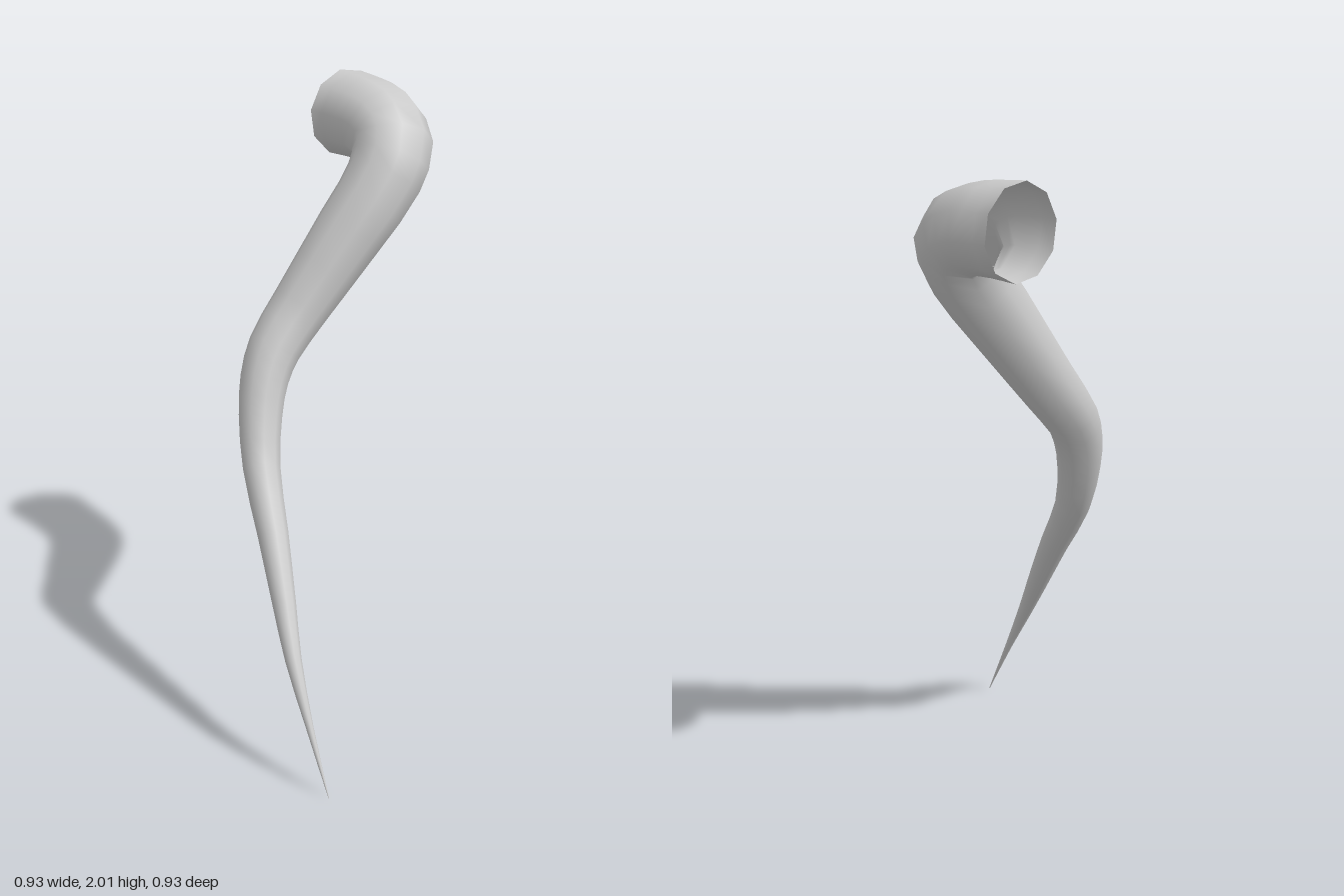
import * as THREE from 'three';

// Centreline stations from the open socket to the tip: x, y, z, radius
const STATIONS = [
  [0.322, 1.867, -0.465, 0.144],
  [0.322, 1.866, -0.36, 0.138],
  [0.318, 1.855, -0.265, 0.134],
  [0.297, 1.81, -0.185, 0.131],
  [0.24, 1.72, -0.157, 0.125],
  [0.12, 1.565, -0.175, 0.115],
  [-0.055, 1.335, -0.213, 0.096],
  [-0.16, 1.215, -0.213, 0.087],
  [-0.215, 1.125, -0.195, 0.078],
  [-0.255, 1.02, -0.163, 0.070],
  [-0.3, 0.875, -0.098, 0.060],
  [-0.35, 0.70, 0.03, 0.049],
  [-0.40, 0.52, 0.155, 0.037],
  [-0.437, 0.38, 0.25, 0.026],
  [-0.457, 0.2, 0.358, 0.012],
  [-0.465, 0.0, 0.465, 0.001],
];
const SIDES = 10;
const STEPS = 2; // rings per station interval

// Tapered tube with a frame carried smoothly along the curve
function taperedTube(stations) {
  const curve = new THREE.CatmullRomCurve3(stations.map(([x, y, z]) => new THREE.Vector3(x, y, z)));
  const rings = (stations.length - 1) * STEPS;
  const positions = [];
  const indices = [];
  const u = new THREE.Vector3(1, -0.17, 0);
  const v = new THREE.Vector3();
  for (let i = 0; i <= rings; i++) {
    const t = i / rings;
    const centre = curve.getPoint(t);
    const tangent = i === 0 ? new THREE.Vector3(0, 0, 1) : curve.getTangent(t);
    u.addScaledVector(tangent, -u.dot(tangent)).normalize();
    v.crossVectors(tangent, u);
    const k = Math.min(Math.floor(i / STEPS), stations.length - 2);
    const r = THREE.MathUtils.lerp(stations[k][3], stations[k + 1][3], i / STEPS - k);
    for (let j = 0; j < SIDES; j++) {
      const a = (j / SIDES) * Math.PI * 2;
      const p = centre.clone()
        .addScaledVector(u, r * Math.cos(a))
        .addScaledVector(v, r * Math.sin(a));
      positions.push(p.x, p.y, p.z);
      if (i < rings) {
        const a0 = i * SIDES + j;
        const b0 = i * SIDES + ((j + 1) % SIDES);
        indices.push(a0, b0, a0 + SIDES, b0, b0 + SIDES, a0 + SIDES);
      }
    }
  }
  const geometry = new THREE.BufferGeometry();
  geometry.setAttribute('position', new THREE.Float32BufferAttribute(positions, 3));
  geometry.setIndex(indices);
  geometry.computeVertexNormals();
  return geometry;
}

export function createModel() {
  const group = new THREE.Group();
  group.name = 'twistedHorn';
  // Hollow horn, open at the socket end
  const horn = new THREE.Mesh(
    taperedTube(STATIONS),
    new THREE.MeshStandardMaterial({ color: 0xcccccc, side: THREE.DoubleSide })
  );
  horn.name = 'horn';
  group.add(horn);
  return group;
}
